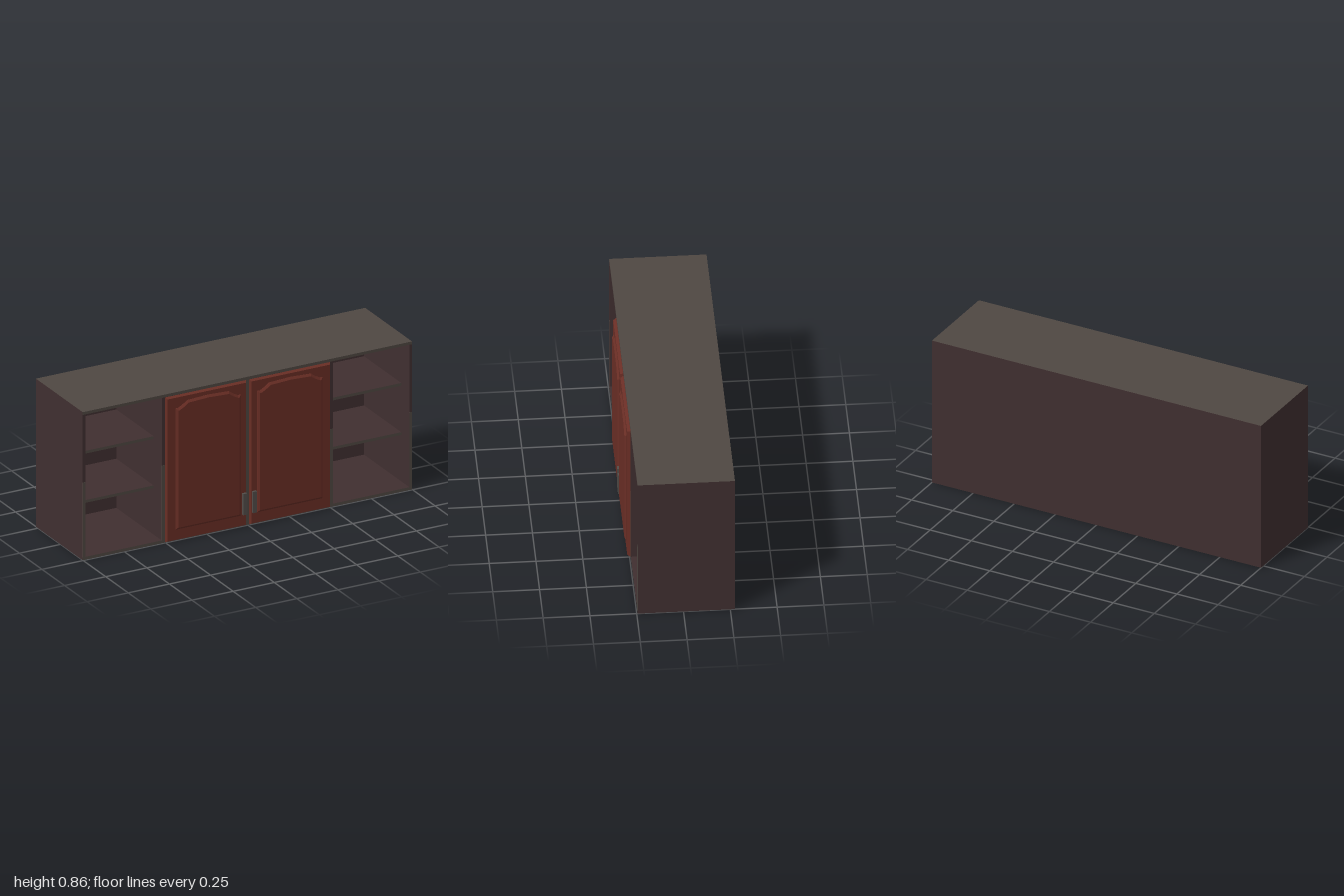
import * as THREE from 'three';

const mat = (name, hex) => {
  const m = new THREE.MeshStandardMaterial({ color: hex });
  m.name = name;
  return m;
};

export function createModel() {
  const group = new THREE.Group();
  const brown = mat('dark brown wood', 0x402f30);
  const grey = mat('grey brown trim', 0x4f4742);
  const red = mat('red brown door', 0x6a2e25);
  const steel = mat('grey handle', 0x524d49);

  const H = 0.857, BACK = -0.275, FRONT = 0.245, T = 0.016;

  // Box from its minimum and maximum corners
  const box = (name, x0, x1, y0, y1, z0, z1, material) => {
    const mesh = new THREE.Mesh(new THREE.BoxGeometry(x1 - x0, y1 - y0, z1 - z0), material);
    mesh.position.set((x0 + x1) / 2, (y0 + y1) / 2, (z0 + z1) / 2);
    mesh.name = name;
    group.add(mesh);
  };
  // Material order: +x, -x, +y, -y, +z, -z
  const greyFront = [brown, brown, brown, brown, grey, brown];
  const greyTop = [brown, brown, grey, brown, grey, brown];

  // Carcass
  box('topPanel', -1, 1, H - T, H, BACK, FRONT, greyTop);
  box('bottomPanel', -1, 1, 0, T, BACK, FRONT, greyFront);
  box('backPanel', -1 + T, 1 - T, T, H - T, BACK, BACK + T, brown);
  box('centreStile', -0.02, 0.02, T, H - T, BACK + T, FRONT, greyFront);

  for (const s of [-1, 1]) {
    const side = s > 0 ? 'left' : 'right';
    const span = (name, a, b, ...rest) => box(side + name, Math.min(s * a, s * b), Math.max(s * a, s * b), ...rest);

    // Upright panels, with grey edging on the lower half of the front
    span('SidePanel', 1 - T, 1, T, H - T, BACK, FRONT, brown);
    span('Divider', 0.498, 0.52, T, H - T, BACK + T, FRONT, brown);
    span('SideEdging', 1 - T, 1, T, 0.45, FRONT - 0.001, FRONT + 0.001, grey);
    span('DividerEdging', 0.498, 0.52, T, 0.45, FRONT - 0.001, FRONT + 0.001, grey);

    // Open shelves, set back from the front
    for (const y of [0.285, 0.57]) {
      span('Shelf', 0.52, 1 - T, y, y + T, BACK + T, 0.155, greyFront);
    }

    // Door slab and arched raised panel
    const bevelled = (name, points, z, thickness, size) => {
      const pts = points.map(([x, y]) => new THREE.Vector2(s * x, y));
      const geo = new THREE.ExtrudeGeometry(new THREE.Shape(pts), {
        depth: 0.002, bevelThickness: thickness, bevelSize: size, bevelOffset: -size, bevelSegments: 1,
      });
      const mesh = new THREE.Mesh(geo, red);
      mesh.position.z = z;
      mesh.name = side + name;
      group.add(mesh);
    };
    bevelled('Door', [[0.01, 0.003], [0.5, 0.003], [0.5, 0.84], [0.01, 0.84]], FRONT, 0.015, 0.007);
    bevelled('DoorRaisedPanel', [
      [0.05, 0.07], [0.447, 0.07], [0.447, 0.772], [0.43, 0.772], [0.405, 0.785], [0.375, 0.806],
      [0.25, 0.812], [0.122, 0.806], [0.092, 0.785], [0.067, 0.772], [0.05, 0.772],
    ], 0.262, 0.009, 0.012);

    // Flat handle near the meeting edge
    span('Handle', 0.018, 0.042, 0.075, 0.198, 0.26, 0.277, steel);
  }
  return group;
}
